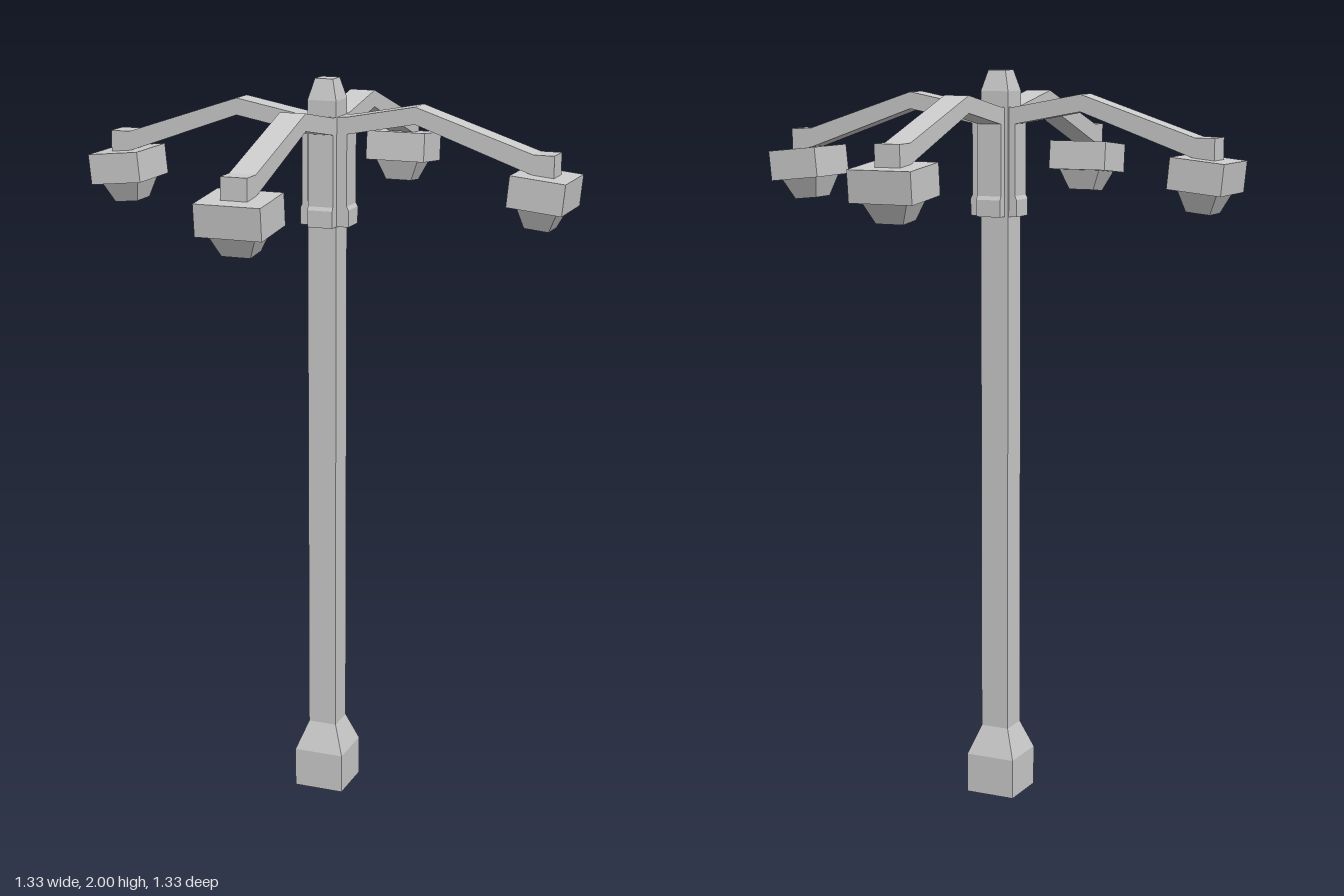
import * as THREE from 'three';

const material = new THREE.MeshStandardMaterial({ color: 0xcccccc, flatShading: true });

function addMesh(parent, name, geometry) {
  const mesh = new THREE.Mesh(geometry, material);
  mesh.name = name;
  parent.add(mesh);
  return mesh;
}

// Square column from [halfWidth, y] pairs, bottom to top
function squareLathe(profile) {
  const points = profile.map(([half, y]) => new THREE.Vector2(half * Math.SQRT2, y));
  return new THREE.LatheGeometry(points, 4, Math.PI / 4);
}

// Bracket against the pole and bent arm, as one side profile
function armGeometry() {
  const width = 0.07;
  const shape = new THREE.Shape([
    [0, 1.9], [0.063, 1.905], [0.25, 1.94], [0.568, 1.835], [0.622, 1.835],
    [0.622, 1.775], [0.56, 1.785], [0.25, 1.895], [0.063, 1.86], [0.063, 1.67],
    [0.068, 1.66], [0.068, 1.615], [0, 1.615],
  ].map(([x, y]) => new THREE.Vector2(x, y)));
  return new THREE.ExtrudeGeometry(shape, { depth: width, bevelEnabled: false })
    .translate(0, 0, -width / 2);
}

export function createModel() {
  const model = new THREE.Group();
  model.name = 'streetLamp';

  // Flared base, shaft and tapered cap
  const pole = addMesh(model, 'pole', squareLathe([
    [0, 0], [0.07, 0], [0.07, 0.11], [0.04, 0.19], [0.04, 1.945], [0.025, 2], [0, 2],
  ]));
  pole.position.x = -0.005;

  const armShape = armGeometry();
  const housingShape = new THREE.BoxGeometry(0.147, 0.082, 0.175);
  const lensShape = squareLathe([[0, -0.097], [0.033, -0.097], [0.054, -0.041], [0, -0.041]]);
  lensShape.scale(1, 1, 1.15);

  // Four arms, each carrying a lamp head tilted toward the pole
  for (let i = 0; i < 4; i++) {
    const branch = new THREE.Group();
    branch.name = 'branch' + (i + 1);
    branch.rotation.y = i * Math.PI / 2;
    addMesh(branch, 'arm', armShape);

    const head = new THREE.Group();
    head.name = 'lampHead';
    head.position.set(0.59, 1.74, 0);
    head.rotation.z = -0.1;
    addMesh(head, 'housing', housingShape);
    addMesh(head, 'lens', lensShape);
    branch.add(head);
    model.add(branch);
  }
  return model;
}
